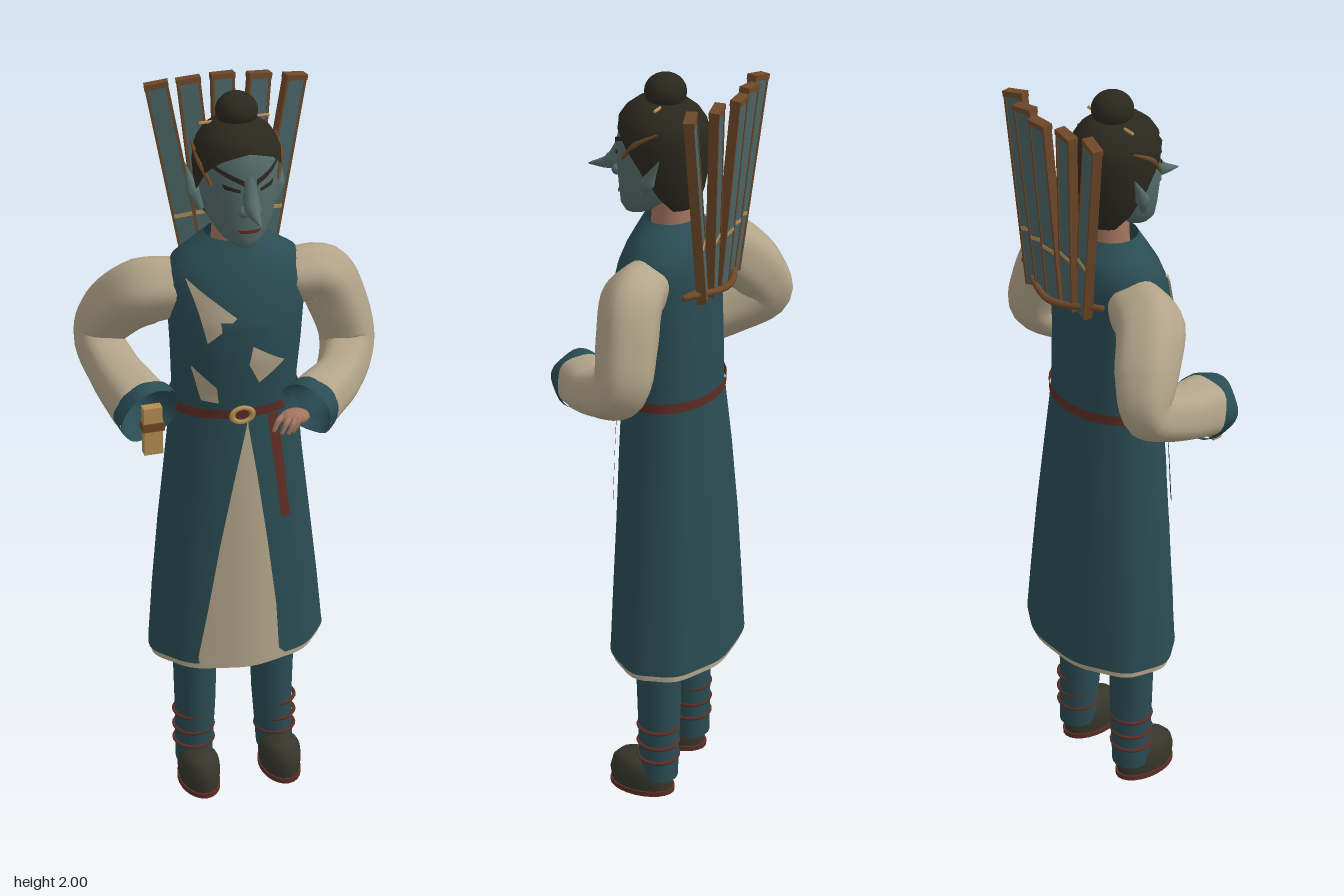
import * as THREE from 'three';

const mat = (name, color) => {
  const m = new THREE.MeshStandardMaterial({ color, side: THREE.DoubleSide });
  m.name = name;
  return m;
};

// Joins rows of points into a smooth skin; closed rows wrap around.
function skin(rows, closed) {
  const n = rows[0].length, idx = [];
  for (let i = 0; i < rows.length - 1; i++)
    for (let j = 0; j < (closed ? n : n - 1); j++) {
      const k = (j + 1) % n, a = i * n + j, b = i * n + k;
      idx.push(a, b, b + n, a, b + n, a + n);
    }
  const g = new THREE.BufferGeometry().setFromPoints(rows.flat());
  g.setIndex(idx);
  g.computeVertexNormals();
  return g;
}

// Row at height y, interpolated from [y, cx, cz, rx, rz, gapLeft, gapRight]
function rowAt(rows, y) {
  let i = 0;
  while (i < rows.length - 2 && y > rows[i + 1][0]) i++;
  const t = THREE.MathUtils.clamp((y - rows[i][0]) / (rows[i + 1][0] - rows[i][0]), 0, 1);
  return rows[i].map((v, k) => v + (rows[i + 1][k] - v) * t);
}

// Stacked ellipses, optionally open at the front and rippled like cloth
function loft(rows, n = 32, ripple = 0) {
  const open = rows[0].length > 5;
  return skin(rows.map(([y, cx, cz, rx, rz, gl = 0, gr = 0], i) => {
    const fold = ripple * (1 - i / (rows.length - 1));
    return Array.from({ length: open ? n + 1 : n }, (_, j) => {
      const a = gl + (j / n) * (Math.PI * 2 - gl - gr), f = 1 + fold * Math.cos(a * 9);
      return new THREE.Vector3(cx + rx * f * Math.sin(a), y, cz + rz * f * Math.cos(a));
    });
  }), !open);
}

// Four-cornered thin panel laid on the front of a loft
function patch(rows, [a, b, c, d], off = 0.006, n = 6) {
  const mix = (p, q, t) => [p[0] + (q[0] - p[0]) * t, p[1] + (q[1] - p[1]) * t];
  const pts = [];
  for (let i = 0; i <= n; i++) {
    const line = [];
    for (let j = 0; j <= n; j++) {
      const [x, y] = mix(mix(a, b, j / n), mix(d, c, j / n), i / n);
      const [, cx, cz, rx, rz] = rowAt(rows, y);
      const s = Math.min(0.98, Math.abs(x - cx) / rx);
      line.push(new THREE.Vector3(x, y, cz + rz * Math.sqrt(1 - s * s) + off));
    }
    pts.push(line);
  }
  return skin(pts, false);
}

// Round limb through [x, y, z, radius] points
function sweep(pts, { n = 16, steps = 16, fold = 0, cap = false } = {}) {
  const curve = new THREE.CatmullRomCurve3(pts.map(p => new THREE.Vector3(p[0], p[1], p[2])));
  const rows = [];
  let N = new THREE.Vector3(0.13, 0.2, 1);
  for (let i = 0; i <= steps; i++) {
    const t = i / steps, s = t * (pts.length - 1), k = Math.min(Math.floor(s), pts.length - 2);
    const r = pts[k][3] + (pts[k + 1][3] - pts[k][3]) * (s - k);
    const P = curve.getPoint(t), T = curve.getTangent(t);
    N = N.clone().addScaledVector(T, -N.dot(T)).normalize();
    const B = T.clone().cross(N);
    rows.push(Array.from({ length: n }, (_, j) => {
      const a = j / n * Math.PI * 2, q = r * (1 + fold * Math.cos(a * 5));
      return P.clone().addScaledVector(N, q * Math.cos(a)).addScaledVector(B, q * Math.sin(a));
    }));
    if (cap && i === 0) rows.unshift(rows[0].map(() => P.clone()));
    if (cap && i === steps) rows.push(rows[0].map(() => P.clone()));
  }
  return skin(rows, true);
}

export function createModel() {
  const model = new THREE.Group();
  const teal = mat('teal cloth', 0x2a4c53), cream = mat('cream cloth', 0xb3a58a), face = mat('grey green face', 0x546c68);
  const hair = mat('dark hair', 0x2a281e), skinTone = mat('skin', 0xa3755f), red = mat('dark red', 0x5f2d25);
  const brown = mat('brown wood', 0x6e4828), gold = mat('gold', 0xb58e52), shoe = mat('shoe leather', 0x36362c);
  const slate = mat('slate board', 0x4a6466);
  const add = (name, geo, m, parent = model) => {
    const mesh = new THREE.Mesh(geo, m);
    mesh.name = name;
    parent.add(mesh);
    return mesh;
  };

  // Legs, straps and shoes
  for (const [x, fx] of [[0.115, 0.125], [-0.104, -0.108]]) {
    add('leg', loft([[0.05, fx, -0.038, 0.05, 0.052], [0.25, x, -0.035, 0.056, 0.058], [0.6, x, -0.032, 0.064, 0.065]], 20), teal);
    for (const y of [0.115, 0.16, 0.21]) {
      const s = add('legStrap', new THREE.TorusGeometry(0.054, 0.005, 6, 24), red);
      s.position.set(fx, y, -0.037);
      s.rotation.x = Math.PI / 2;
    }
    add('shoe', loft([[0.012, fx, 0.01, 0.052, 0.087], [0.05, fx, 0.012, 0.056, 0.09], [0.08, fx, 0.018, 0.052, 0.076],
      [0.1, fx, 0.025, 0.036, 0.05], [0.107, fx, 0.025, 0.001, 0.001]], 20), shoe);
    const sole = add('sole', new THREE.CylinderGeometry(1, 1, 0.014, 24), red);
    sole.scale.set(0.056, 1, 0.092);
    sole.position.set(fx, 0.007, 0.01);
  }

  // Cream underskirt and open teal robe
  const robe = [
    [0.44, 0.012, -0.047, 0.24, 0.165, 0.42, 0.6], [0.46, 0.012, -0.047, 0.238, 0.164, 0.34, 0.62],
    [0.6, 0.01, -0.045, 0.226, 0.158, 0.33, 0.52], [0.8, 0.007, -0.042, 0.205, 0.149, 0.25, 0.38],
    [1.0, 0.005, -0.036, 0.182, 0.138, 0.13, 0.19], [1.14, 0.005, -0.031, 0.168, 0.127, 0.01, 0.02],
    [1.19, 0.005, -0.03, 0.165, 0.122, 0, 0]];
  add('underskirt', loft(robe.map(([y, cx, cz, rx, rz], i) => [i ? y : 0.42, cx, cz, rx - 0.008, rz - 0.008]), 60, 0.015), cream);
  add('robeSkirt', loft(robe, 60, 0.015), teal);
  add('sash', patch(robe, [[0.055, 1.17], [0.085, 1.17], [0.122, 0.86], [0.095, 0.86]], 0.012), red);
  add('ribbon', patch(robe, [[-0.12, 1.15], [-0.1, 1.15], [-0.115, 0.86], [-0.137, 0.86]], 0.012), teal);

  // Torso with overlapping chest panels
  const torso = [
    [1.16, 0.005, -0.03, 0.165, 0.122], [1.24, 0.005, -0.026, 0.163, 0.126], [1.34, 0.005, -0.015, 0.168, 0.134],
    [1.44, 0.005, -0.012, 0.174, 0.132], [1.52, 0.005, -0.02, 0.176, 0.12], [1.57, 0.005, -0.028, 0.16, 0.108],
    [1.6, 0.002, -0.025, 0.118, 0.09], [1.635, 0, -0.02, 0.072, 0.066]];
  add('torso', loft(torso, 40), teal);
  for (const c of [
    [[-0.14, 1.55], [-0.03, 1.46], [-0.1, 1.39], [-0.12, 1.48]],
    [[0.01, 1.38], [0.1, 1.32], [0.03, 1.27], [0.0, 1.33]],
    [[-0.135, 1.32], [-0.075, 1.26], [-0.07, 1.215], [-0.11, 1.22]]]) add('chestOpening', patch(torso, c), cream);
  add('chestTie', patch(torso, [[-0.07, 1.45], [0.06, 1.45], [0.04, 1.39], [-0.06, 1.37]], 0.008), teal);

  // Belt and buckle
  add('belt', loft([[1.168, 0.005, -0.03, 0.171, 0.128], [1.195, 0.005, -0.029, 0.171, 0.13]], 40), red);
  const buckle = add('buckle', new THREE.TorusGeometry(0.02, 0.006, 8, 20), gold);
  buckle.scale.x = 1.35;
  buckle.position.set(-0.012, 1.181, 0.104);

  // Neck and head
  add('neck', loft([[1.6, 0.003, -0.025, 0.058, 0.052], [1.72, 0.004, -0.025, 0.05, 0.05]], 20), skinTone);
  const head = [
    [1.632, 0.004, 0.07, 0.001, 0.001], [1.637, 0.004, 0.07, 0.026, 0.028], [1.66, 0.004, 0.05, 0.055, 0.058],
    [1.7, 0.004, 0.02, 0.081, 0.09], [1.76, 0.004, 0.008, 0.096, 0.106], [1.83, 0.004, 0.003, 0.1, 0.111],
    [1.88, 0.004, 0, 0.092, 0.104], [1.92, 0.004, 0, 0.055, 0.07]];
  add('head', loft(head, 32), face);
  add('nose', sweep([[0.004, 1.84, 0.1, 0.01], [0.004, 1.79, 0.113, 0.018], [0.004, 1.755, 0.135, 0.021],
    [0.004, 1.737, 0.198, 0.002]], { n: 12 }), face);
  for (const s of [-1, 1]) {
    const X = v => 0.004 + s * v;
    add('eyebrow', patch(head, [[X(0.016), 1.822], [X(0.08), 1.852], [X(0.08), 1.842], [X(0.016), 1.807]], 0.004), hair);
    add('eye', patch(head, [[X(0.024), 1.798], [X(0.065), 1.81], [X(0.06), 1.797], [X(0.026), 1.79]], 0.004), hair);
    const nostril = add('nostril', new THREE.SphereGeometry(0.014, 10, 8), face);
    nostril.position.set(X(0.016), 1.74, 0.115);
    add('ear', sweep([[X(0.094), 1.715, 0.01, 0.008], [X(0.107), 1.755, -0.005, 0.018], [X(0.12), 1.82, -0.04, 0.001]], { n: 10 }), face);
    add('hairTwig', sweep([[X(0.085), 1.8, 0.07, 0.004], [X(0.102), 1.845, 0.03, 0.007], [X(0.107), 1.88, -0.03, 0.003]], { n: 8 }), brown);
  }
  add('mouth', patch(head, [[-0.026, 1.69], [0.034, 1.69], [0.026, 1.681], [-0.018, 1.681]], 0.004), red);

  // Hair, bun and pin
  add('hair', loft([
    [1.67, 0.004, -0.03, 0.066, 0.06, 1.95, 1.95], [1.71, 0.004, -0.012, 0.092, 0.092, 1.75, 1.75],
    [1.77, 0.004, -0.003, 0.105, 0.112, 1.45, 1.45], [1.83, 0.004, 0, 0.109, 0.118, 1.05, 1.05],
    [1.865, 0.004, 0, 0.106, 0.116, 0.65, 0.65], [1.885, 0.004, 0, 0.099, 0.109, 0, 0], [1.91, 0.004, 0, 0.083, 0.092, 0, 0],
    [1.932, 0.004, 0, 0.055, 0.063, 0, 0], [1.945, 0.004, 0, 0.001, 0.001, 0, 0]], 40), hair);
  const bun = add('hairBun', new THREE.SphereGeometry(0.052, 24, 16), hair);
  bun.scale.y = 0.88;
  bun.position.set(0.006, 1.954, -0.008);
  add('hairPin', sweep([[-0.085, 1.925, -0.02, 0.004], [0.09, 1.93, -0.014, 0.004]], { n: 8, cap: true }), gold);

  // Sleeves with teal cuffs
  const sleeves = [
    { arm: [[-0.13, 1.49, -0.045, 0.075], [-0.215, 1.475, -0.075, 0.085], [-0.28, 1.4, -0.14, 0.078], [-0.312, 1.325, -0.165, 0.062],
      [-0.295, 1.265, -0.07, 0.067], [-0.26, 1.222, 0.055, 0.078]], end: [-0.249, 1.21, 0.09] },
    { arm: [[0.14, 1.5, -0.01, 0.068], [0.225, 1.49, -0.012, 0.077], [0.275, 1.4, -0.02, 0.076], [0.303, 1.295, -0.015, 0.07],
      [0.25, 1.24, 0.075, 0.062], [0.165, 1.218, 0.148, 0.07]], end: [0.138, 1.21, 0.168] }];
  for (const { arm, end } of sleeves) {
    const last = arm[5];
    add('sleeve', sweep(arm, { n: 30, steps: 30, fold: 0.04 }), cream);
    add('cuff', sweep([[...last.slice(0, 3), last[3] + 0.002], [...end, last[3] + 0.006]], { n: 30, steps: 3, fold: 0.04 }), teal);
    add('cuffLining', sweep([[...arm[4].slice(0, 3), 0.001], [...last.slice(0, 3), last[3] - 0.008], [...end, last[3] + 0.002]], { n: 30 }), teal);
  }

  // Wooden handle held in the right sleeve
  const handle = add('handle', new THREE.BoxGeometry(0.048, 0.13, 0.026), gold);
  handle.position.set(-0.247, 1.178, 0.105);
  const grip = add('handleBand', new THREE.BoxGeometry(0.056, 0.022, 0.034), brown);
  grip.position.set(-0.247, 1.19, 0.105);

  // Left hand
  const palm = add('palm', new THREE.SphereGeometry(0.03, 16, 12), skinTone);
  palm.scale.set(1.3, 0.65, 1);
  palm.position.set(0.1, 1.2, 0.183);
  for (let i = 0; i < 5; i++) {
    const x = 0.04 + i * 0.015, z = 0.2 + 0.024 * Math.sin(i * 0.8);
    add('finger', sweep([[0.082 + i * 0.008, 1.2, 0.17 + i * 0.008, 0.009], [x + 0.016, 1.203, z - 0.006, 0.008],
      [x, 1.175, z, 0.005]], { n: 8, steps: 8, cap: true }), skinTone);
  }

  // Fan of five boards on the back
  const tops = [[-0.145, -0.19], [-0.06, -0.2], [0.03, -0.208], [0.118, -0.185], [0.2, -0.15]];
  tops.forEach(([tx, tz], i) => {
    const low = new THREE.Vector3(0.03 + (i - 2) * 0.045, 1.48, -0.165 + Math.abs(i - 2) * 0.005);
    const dir = new THREE.Vector3(tx, 1.97, tz).sub(low), L = dir.length();
    const board = new THREE.Group();
    board.name = 'backBoard';
    board.position.copy(low).addScaledVector(dir, 0.5);
    board.quaternion.setFromUnitVectors(new THREE.Vector3(0, 1, 0), dir.normalize());
    board.rotateY((2 - i) * -0.12);
    add('boardFace', new THREE.BoxGeometry(0.048, L, 0.02), slate, board);
    for (const s of [-1, 1]) add('boardEdge', new THREE.BoxGeometry(0.006, L, 0.024), brown, board).position.x = s * 0.026;
    add('boardTip', new THREE.BoxGeometry(0.06, 0.014, 0.027), brown, board).position.y = L / 2 - 0.004;
    add('boardBand', new THREE.BoxGeometry(0.054, 0.01, 0.023), gold, board).position.y = -L * 0.2;
    model.add(board);
  });

  // Holder rails around the boards
  add('holderBack', sweep([[-0.12, 1.51, -0.14, 0.008], [0.03, 1.488, -0.19, 0.009], [0.2, 1.51, -0.135, 0.008]], { n: 8, cap: true }), brown);
  add('holderFront', sweep([[-0.1, 1.5, -0.135, 0.008], [0.03, 1.48, -0.148, 0.009], [0.17, 1.5, -0.13, 0.008]], { n: 8, cap: true }), brown);
  return model;
}
